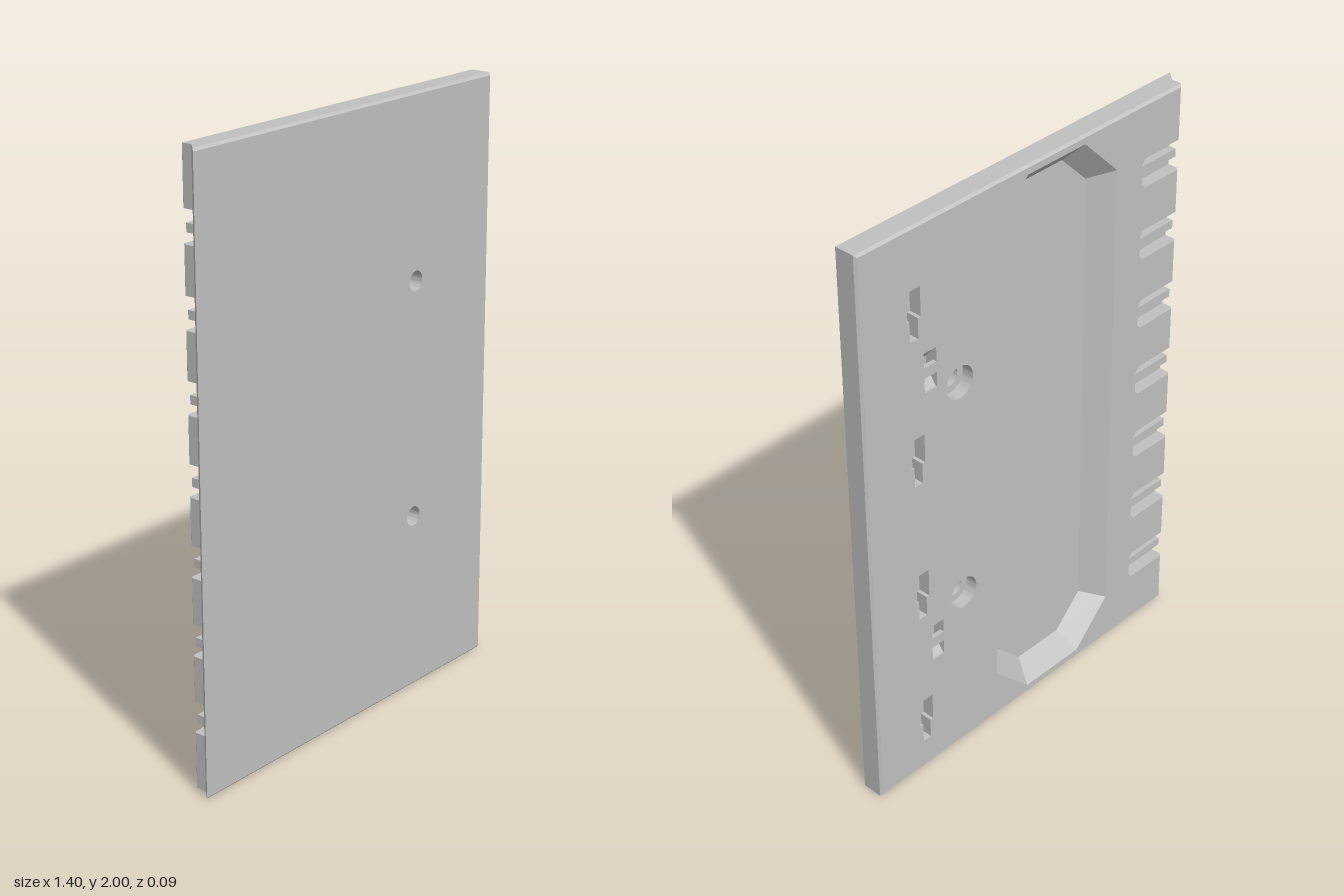
import * as THREE from 'three';
import { toCreasedNormals } from 'three/addons/utils/BufferGeometryUtils.js';

const BACK = -0.0425, MID = 0, FLOOR = 0.024, FRONT = 0.0425;
const RIGHT = 0.698, EDGE = -0.66, BEVEL = 0.008;
const SCREWS = [1.4, 0.607];
const KEYHOLES = [1.8, 1.293, 0.786, 0.279];
const TIES = [1.502, 0.488];
const CLIPS = [...Array(7).keys()].map((i) => 1 + (i - 3) * 0.254);

const poly = (C, pts) => new C(pts.map(([x, y]) => new THREE.Vector2(x, y)));
const rect = (x0, y0, x1, y1) => [[x0, y0], [x1, y0], [x1, y1], [x0, y1]];

function circle(x, y, r) {
  const p = new THREE.Path();
  p.absarc(x, y, r, 0, Math.PI * 2);
  return p;
}

// Long octagon of the finger recess, shrunk by an inset
function octagon(inset) {
  const cx = -0.1, w = 0.267 - inset, h = 0.97 - inset, c = 0.145 - inset * 0.586;
  return [[w, h - c], [w - c, h], [c - w, h], [-w, h - c], [-w, c - h], [c - w, -h], [w - c, -h], [w, c - h]]
    .map(([x, y]) => [cx + x, 1 + y]);
}

// One layer of the panel; bevelEnd picks the face whose outer rim is chamfered
function layer(outline, holes, z0, z1, bevelEnd, bevelLeft) {
  const shape = poly(THREE.Shape, outline);
  shape.holes.push(...holes);
  const geo = new THREE.ExtrudeGeometry(shape, { depth: z1 - z0, steps: 2, bevelEnabled: false, curveSegments: 24 });
  geo.translate(0, 0, z0);
  const p = geo.attributes.position, mid = (z0 + z1) / 2, near = (a, b) => Math.abs(a - b) < 1e-4;
  for (let i = 0; bevelEnd !== undefined && i < p.count; i++) {
    const x = p.getX(i), y = p.getY(i), z = p.getZ(i);
    if (near(z, mid)) p.setZ(i, bevelEnd + Math.sign(mid - bevelEnd) * BEVEL);
    if (!near(z, bevelEnd)) continue;
    if (near(x, RIGHT)) p.setX(i, x - BEVEL);
    if (bevelLeft && near(x, EDGE)) p.setX(i, x + BEVEL);
    if (near(y, 0)) p.setY(i, BEVEL);
    if (near(y, 2)) p.setY(i, 2 - BEVEL);
  }
  return toCreasedNormals(geo, 0.5);
}

export function createModel() {
  const group = new THREE.Group();
  const grey = new THREE.MeshStandardMaterial({ color: 0xc0c0c0 });
  grey.name = 'plain grey';
  const add = (name, geo) => {
    const mesh = new THREE.Mesh(geo, grey);
    mesh.name = name;
    group.add(mesh);
    return mesh;
  };
  const box = (name, x0, x1, y0, y1, z0, z1) => {
    add(name, new THREE.BoxGeometry(x1 - x0, y1 - y0, z1 - z0))
      .position.set((x0 + x1) / 2, (y0 + y1) / 2, (z0 + z1) / 2);
  };

  // Back layer: outline with open clip notches along one edge
  const outline = [[EDGE, 2], [EDGE, 0], [RIGHT, 0], [RIGHT, 2]].slice(1);
  const notched = [...outline, [EDGE, 2]];
  for (const y of [...CLIPS].reverse()) {
    notched.push([EDGE, y + 0.052], [-0.5, y + 0.052], [-0.485, y + 0.037],
      [-0.485, y - 0.037], [-0.5, y - 0.052], [EDGE, y - 0.052]);
  }
  const keyhole = (t) => poly(THREE.Path, [[0.462, t], [0.518, t], [0.518, t - 0.1], [0.506, t - 0.1],
    [0.506, t - 0.17], [0.474, t - 0.17], [0.474, t - 0.1], [0.462, t - 0.1]]);
  const recess = () => poly(THREE.Path, octagon(0));
  add('backLayer', layer(notched, [
    recess(),
    ...SCREWS.map((y) => circle(0.313, y, 0.056)),
    ...KEYHOLES.map(keyhole),
    ...TIES.map((y) => poly(THREE.Path, rect(0.405, y - 0.068, 0.455, y + 0.068))),
  ], BACK, MID, BACK, true));

  // Middle and front layers with the narrow screw holes
  const plain = [...outline, [EDGE, 2]];
  const bores = () => SCREWS.map((y) => circle(0.313, y, 0.033));
  add('middleLayer', layer(plain, [recess(), ...bores()], MID, FLOOR));
  add('frontLayer', layer(plain, bores(), FLOOR, FRONT, FRONT, false));

  // Sloped walls of the recess, facing inward
  const outer = octagon(0), inner = octagon(0.066), v = [];
  outer.forEach((a, i) => {
    const j = (i + 1) % 8, b = outer[j], c = inner[j], d = inner[i];
    v.push(...a, BACK, ...b, BACK, ...c, FLOOR, ...a, BACK, ...c, FLOOR, ...d, FLOOR);
  });
  const walls = new THREE.BufferGeometry();
  walls.setAttribute('position', new THREE.Float32BufferAttribute(v, 3));
  walls.computeVertexNormals();
  const wallMesh = add('recessWalls', walls);
  wallMesh.material = grey;
  grey.side = THREE.DoubleSide;

  // Slanted lip along the clip edge
  const lip = new THREE.ExtrudeGeometry(poly(THREE.Shape, [
    [EDGE, -MID], [-0.692, -FRONT + BEVEL], [-0.7, -FRONT], [EDGE, -FRONT], [EDGE, -FRONT + BEVEL],
  ]), { depth: 2, bevelEnabled: false });
  lip.rotateX(-Math.PI / 2);
  const lp = lip.attributes.position;
  for (let i = 0; i < lp.count; i++) {
    if (lp.getZ(i) > FRONT - 1e-4) lp.setY(i, lp.getY(i) > 1 ? 2 - BEVEL : BEVEL);
  }
  lip.computeVertexNormals();
  add('edgeLip', lip);

  // Bar inside each clip notch
  for (const y of CLIPS) box('clipBar', EDGE, -0.49, y - 0.016, y + 0.012, -0.026, MID);

  // Tie slots: a bridge between two ramps
  for (const y of TIES) {
    box('tieBridge', 0.405, 0.455, y - 0.018, y + 0.018, BACK, -0.028);
    for (const s of [-1, 1]) {
      const ramp = new THREE.ExtrudeGeometry(poly(THREE.Shape, [
        [-BACK - 0.006, y + s * 0.068], [0, y + s * 0.068], [0, y + s * 0.018],
      ]), { depth: 0.05, bevelEnabled: false });
      ramp.rotateY(-Math.PI / 2);
      ramp.scale(1, 1, -1).rotateY(Math.PI);
      // Place so the ramp rises toward the outer end of the slot
      ramp.computeBoundingBox();
      const b = ramp.boundingBox;
      ramp.translate(0.405 - b.min.x, 0, MID - b.max.z);
      const p = ramp.attributes.position;
      for (let i = 0; i < p.count; i++) {
        const outerEnd = Math.abs(p.getY(i) - (y + s * 0.068)) < 1e-4;
        if (!outerEnd) p.setZ(i, MID);
      }
      ramp.computeVertexNormals();
      add('tieRamp', ramp);
    }
  }
  return group;
}
